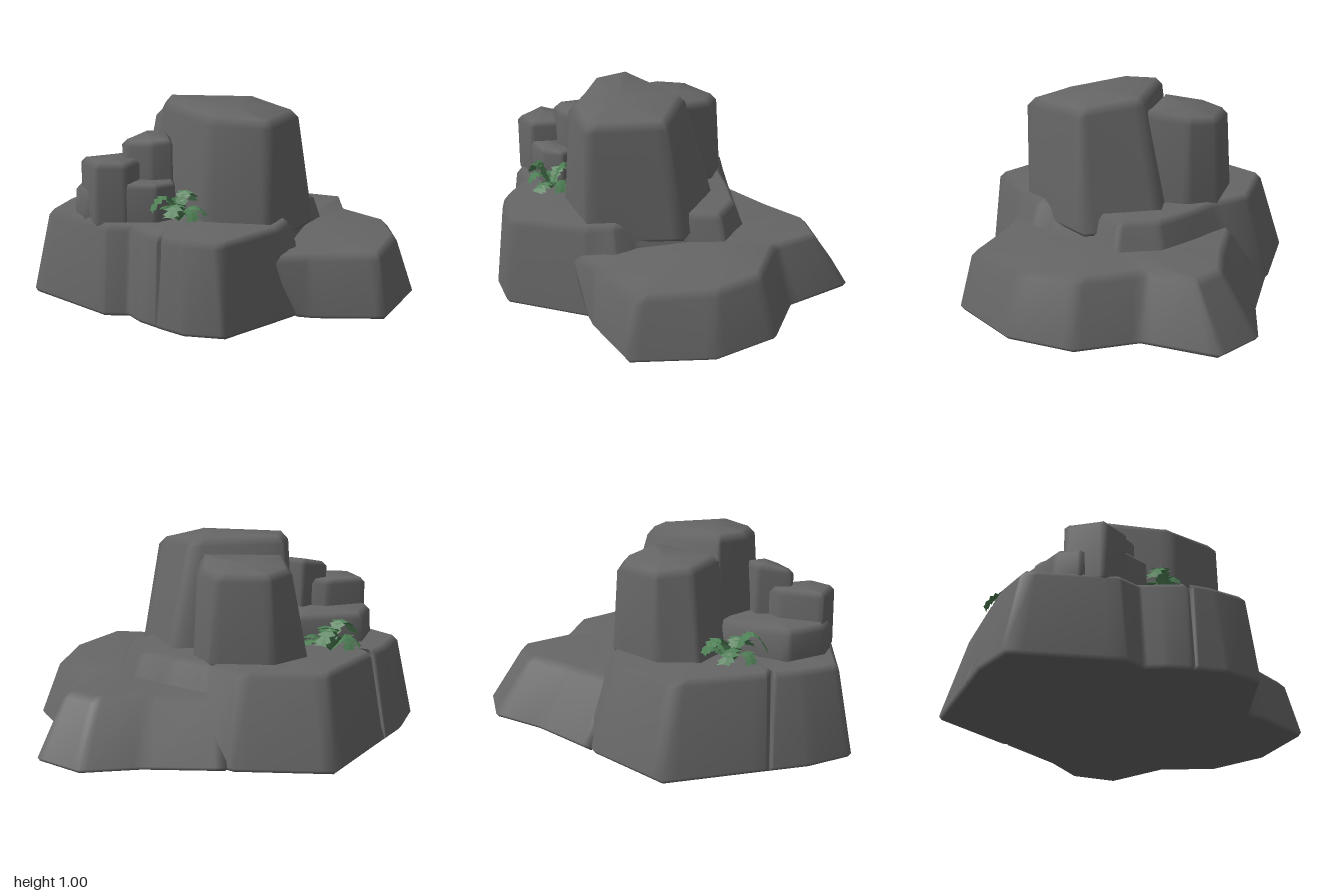
import * as THREE from 'three';

const stone = new THREE.MeshStandardMaterial({ color: 0x666666 });
stone.name = 'stone grey';
const leaf = new THREE.MeshStandardMaterial({ color: 0x4e7f55, side: THREE.DoubleSide });
leaf.name = 'leaf green';

const mix = (a, b, t) => a.map((v, k) => v + (b[k] - v) * t);

// Smooth bevelled boulder. Each row: bottom x, bottom z, top x, top z, optional top y.
function rock(name, rows, y0, y1, bevel, peak = y1) {
  const corners = rows.map(([a, b, c, d, top = y1]) => [a, b, c, d, top]);
  let area = 0;
  corners.forEach((a, i) => {
    const b = corners[(i + 1) % corners.length];
    area += a[0] * b[1] - b[0] * a[1];
  });
  if (area > 0) corners.reverse();
  // extra points beside each corner keep the faces flat and the edges softly rounded
  const pts = corners.flatMap((p, i) => {
    const next = corners[(i + 1) % corners.length];
    return [p, mix(p, next, 0.14), mix(p, next, 0.86)];
  });
  const n = pts.length;
  const mean = k => (Math.min(...pts.map(p => p[k])) + Math.max(...pts.map(p => p[k]))) / 2;
  const inset = (x, z, cx, cz, d) => {
    const l = Math.hypot(cx - x, cz - z);
    return [x + (cx - x) * d / l, z + (cz - z) * d / l];
  };
  const [bx, bz, tx, tz] = [0, 1, 2, 3].map(mean);
  const rings = [[], [], [], []];
  for (const [ax, az, cx, cz, top] of pts) {
    const lo = inset(ax, az, bx, bz, 0.015), hi = inset(cx, cz, tx, tz, bevel);
    rings[0].push([lo[0], y0, lo[1]]);
    rings[1].push([ax, y0 + 0.02, az]);
    rings[2].push([cx, top - bevel, cz]);
    rings[3].push([hi[0], top, hi[1]]);
  }
  const pos = [...rings.flat(2), bx, y0, bz, tx, peak, tz];
  const index = [];
  for (let i = 0; i < n; i++) {
    const j = (i + 1) % n;
    for (let r = 0; r < 3; r++) {
      const a = r * n + i, b = r * n + j;
      index.push(a, b, b + n, a, b + n, a + n);
    }
    index.push(4 * n, j, i, 4 * n + 1, 3 * n + i, 3 * n + j);
  }
  const geo = new THREE.BufferGeometry();
  geo.setAttribute('position', new THREE.Float32BufferAttribute(pos, 3));
  geo.setIndex(index);
  geo.computeVertexNormals();
  const mesh = new THREE.Mesh(geo, stone);
  mesh.name = name;
  return mesh;
}

// Boulder whose foot is its top outline, slightly spread.
function block(name, outline, y0, y1, bevel, spread = 1.03) {
  const n = outline.length;
  const cx = outline.reduce((s, p) => s + p[0], 0) / n;
  const cz = outline.reduce((s, p) => s + p[1], 0) / n;
  const rows = outline.map(([x, z, y]) =>
    [cx + (x - cx) * spread, cz + (z - cz) * spread, x, z, y]);
  return rock(name, rows, y0, y1, bevel);
}

// Fern: arched, curling fronds made of broad pointed leaflets.
function fern(name, x, y, z, radius, count, turn) {
  const pos = [];
  for (let f = 0; f < count; f++) {
    const angle = turn + f * Math.PI * 2 / count;
    const size = radius * (f % 2 ? 0.92 : 1.05);
    const lift = 0.07 + 0.035 * (f % 3);
    const at = (t, side) => {
      const a = angle + 0.45 * t * t;
      const r = size * t;
      return [
        Math.cos(a) * r - Math.sin(a) * side,
        lift * Math.sin(Math.PI * 0.85 * t) - Math.abs(side) * 0.15,
        Math.sin(a) * r + Math.cos(a) * side];
    };
    const steps = 8;
    for (let k = 0; k < steps; k++) {
      const t = k / steps;
      const w = 0.012 + 0.036 * Math.sin(Math.PI * (0.12 + 0.78 * t));
      for (const s of [-1, 1]) {
        const tri = [at(t, 0), at(Math.min(1, t + 0.26), 0), at(Math.min(1, t + 0.18), s * w)];
        if (s > 0) tri.reverse();
        pos.push(...tri.flat());
      }
    }
  }
  const geo = new THREE.BufferGeometry();
  geo.setAttribute('position', new THREE.Float32BufferAttribute(pos, 3));
  geo.computeVertexNormals();
  const mesh = new THREE.Mesh(geo, leaf);
  mesh.name = name;
  mesh.position.set(x, y, z);
  return mesh;
}

export function createModel() {
  const g = new THREE.Group();
  g.name = 'rockFormation';

  // Broad plinth, with two narrow clefts that close towards the foot
  g.add(rock('plinth', [
    [-1, 0.04, -0.91, 0.04], [-0.92, -0.18, -0.83, -0.15],
    [-0.82, -0.335, -0.755, -0.26], [-0.81, -0.35, -0.69, -0.20], [-0.80, -0.365, -0.735, -0.29],
    [-0.53, -0.78, -0.48, -0.66], [-0.06, -0.77, -0.08, -0.65],
    [0.1, -0.68, 0.08, -0.5], [0.33, -0.52, 0.26, -0.40],
    [0.55, -0.38, 0.43, -0.28], [0.65, -0.1, 0.51, -0.1],
    [0.52, 0.08, 0.40, 0.04], [0.42, 0.30, 0.29, 0.28], [0.42, 0.45, 0.27, 0.40],
    [0.27, 0.57, 0.2, 0.52], [-0.09, 0.80, -0.12, 0.76], [-0.28, 0.74, -0.29, 0.68],
    [-0.385, 0.643, -0.37, 0.622], [-0.395, 0.632, -0.355, 0.59], [-0.405, 0.62, -0.39, 0.6],
    [-0.48, 0.54, -0.46, 0.49], [-0.53, 0.45, -0.51, 0.41], [-0.65, 0.43, -0.63, 0.38],
  ], 0, 0.45, 0.03));

  // Lower ledge on the left
  g.add(rock('ledge', [
    [-0.03, -0.76, 0.01, -0.58], [0.37, -0.76, 0.36, -0.6], [0.66, -0.81, 0.61, -0.63],
    [0.88, -0.67, 0.77, -0.54], [0.84, -0.30, 0.73, -0.28], [1, -0.02, 0.9, 0],
    [0.95, 0.32, 0.87, 0.27], [0.71, 0.65, 0.68, 0.59], [0.37, 0.60, 0.35, 0.56],
    [0.29, 0.57, 0.16, 0.57], [0.15, 0.3, 0.12, 0.3], [0.1, -0.3, 0.1, -0.3],
  ], 0, 0.315, 0.035));

  // Two tall boulders
  g.add(rock('tallBoulder', [
    [0.46, 0.09, 0.365, 0.14, 0.955], [0.17, 0.48, 0.16, 0.475, 0.955],
    [-0.15, 0.39, -0.13, 0.36, 0.965], [-0.36, 0.08, -0.32, 0.06, 1],
    [-0.34, -0.2, -0.29, -0.13, 1.005], [0.28, -0.28, 0.18, -0.14, 0.99],
  ], 0.34, 0.97, 0.04, 0.985));
  g.add(rock('backBoulder', [
    [-0.25, -0.52, -0.22, -0.50, 0.88], [0.06, -0.51, 0.04, -0.49, 0.88],
    [0.15, -0.37, 0.13, -0.36, 0.89], [0.15, -0.13, 0.13, -0.13, 0.915],
    [-0.37, -0.14, -0.30, -0.13, 0.915], [-0.41, -0.38, -0.33, -0.36, 0.89],
  ], 0.43, 0.9, 0.035));

  // Stepped small blocks
  g.add(block('slab', [
    [-0.70, -0.09], [-0.33, -0.17], [-0.25, 0.1], [-0.30, 0.26],
    [-0.55, 0.28], [-0.72, 0.23], [-0.765, 0.12]], 0.42, 0.6, 0.03));
  g.add(block('frontStep', [
    [-0.55, 0.22], [-0.28, 0.2], [-0.28, 0.31], [-0.38, 0.37], [-0.54, 0.34]],
  0.42, 0.635, 0.02));
  g.add(block('sideBlock', [
    [-0.735, 0.14], [-0.67, 0.33], [-0.52, 0.345], [-0.435, 0.2],
    [-0.43, 0.09], [-0.53, 0.06]], 0.42, 0.74, 0.025, 1.01));
  g.add(block('upperBlock', [
    [-0.53, 0.15, 0.825], [-0.40, 0.04, 0.85], [-0.29, 0.09, 0.85],
    [-0.285, 0.24, 0.835], [-0.39, 0.25, 0.825], [-0.51, 0.2, 0.82]], 0.5, 0.84, 0.025, 1));

  // Ferns growing on the plinth
  g.add(fern('backFern', -0.53, 0.46, -0.30, 0.16, 7, 0.2));
  g.add(fern('frontFern', -0.27, 0.46, 0.39, 0.13, 7, 0.7));
  return g;
}
